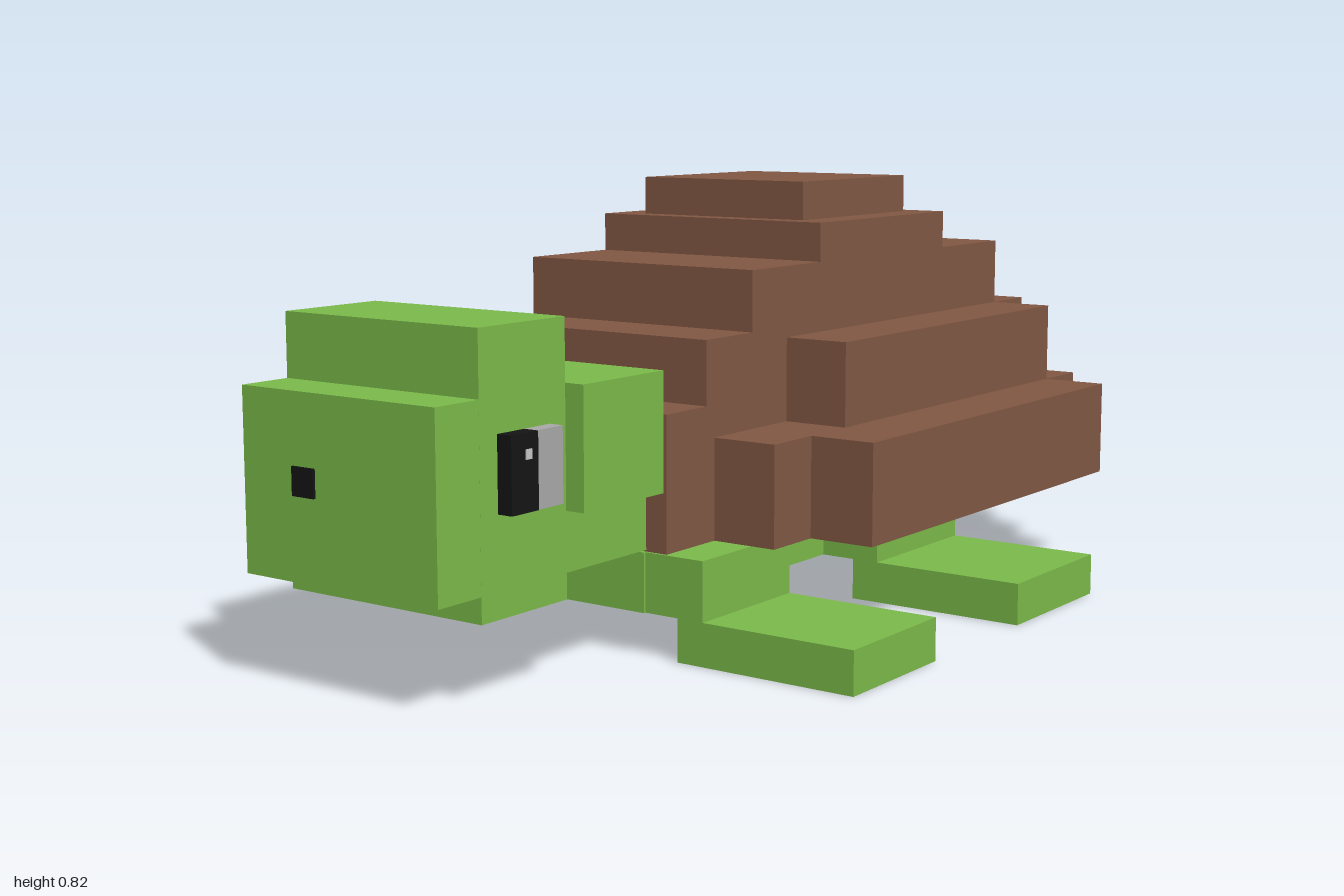
import * as THREE from 'three';

const material = (color) => new THREE.MeshStandardMaterial({ color, flatShading: true });
const CZ = -0.006; // the whole body sits slightly off centre in z

export function createModel() {
  const model = new THREE.Group();
  model.name = 'turtle';
  const green = material(0x7cbb4b);
  const brown = material(0x835944);
  const black = material(0x151515);
  const grey = material(0xaaaaaa);
  const white = material(0xffffff);

  const group = (name) => {
    const g = new THREE.Group();
    g.name = name;
    model.add(g);
    return g;
  };

  // Box given by its limits along each axis
  const box = (parent, name, mat, [x0, x1], [y0, y1], [z0, z1]) => {
    const mesh = new THREE.Mesh(new THREE.BoxGeometry(x1 - x0, y1 - y0, z1 - z0), mat);
    mesh.position.set((x0 + x1) / 2, (y0 + y1) / 2, (z0 + z1) / 2 + CZ);
    mesh.name = name;
    parent.add(mesh);
  };
  const mid = (w) => [-w, w];
  const side = (s, a, b) => (s > 0 ? [a, b] : [-b, -a]);

  // Shell: stepped tiers as [name, x range, y range, half width]
  const shell = group('shell');
  const tiers = [
    ['shellRimWide', [-0.19, 0.75], [0.19, 0.38], 0.525],
    ['shellRimMiddle', [-0.31, 0.88], [0.19, 0.38], 0.394],
    ['shellRimLong', [-0.455, 1.0], [0.19, 0.38], 0.263],
    ['shellFrontStep', [-0.455, -0.19], [0.37, 0.44], 0.263],
    ['shellFrontUpperStep', [-0.335, -0.19], [0.43, 0.56], 0.263],
    ['shellSecondTier', [-0.075, 0.75], [0.37, 0.54], 0.394],
    ['shellSecondTierBack', [-0.19, 0.88], [0.37, 0.54], 0.263],
    ['shellThirdTier', [-0.19, 0.75], [0.53, 0.675], 0.263],
    ['shellFourthTier', [0.04, 0.515], [0.665, 0.75], 0.263],
    ['shellCap', [0.085, 0.47], [0.74, 0.825], 0.193],
  ];
  for (const [name, x, y, w] of tiers) box(shell, name, brown, x, y, mid(w));

  // Sloped front of the second tier, on one side only
  const slope = new THREE.Shape([
    new THREE.Vector2(-0.19, 0.38),
    new THREE.Vector2(-0.075, 0.38),
    new THREE.Vector2(-0.075, 0.54),
  ]);
  const wedge = new THREE.Mesh(
    new THREE.ExtrudeGeometry(slope, { depth: 0.131, bevelEnabled: false }), brown);
  wedge.position.z = -0.394 + CZ;
  wedge.name = 'shellSlope';
  shell.add(wedge);

  // Belly and the four legs with flat feet
  box(model, 'belly', green, [-0.465, 0.485], [0.08, 0.19], mid(0.22));
  for (const s of [1, -1]) {
    for (const [name, x] of [['frontLeg', [-0.46, -0.185]], ['backLeg', [0.127, 0.442]]]) {
      const leg = group(name);
      box(leg, name + 'Joint', green, x, [0.08, 0.19], side(s, 0.21, 0.345));
      box(leg, name + 'Foot', green, x, [0, 0.08], side(s, 0.29, 0.655));
    }
  }

  // Head and neck
  const head = group('head');
  box(head, 'headCore', green, [-0.995, -0.45], [0.193, 0.515], mid(0.218));
  box(head, 'headBand', green, [-0.893, -0.677], [0.147, 0.63], mid(0.2181));
  box(head, 'neck', green, [-0.677, -0.455], [0.3, 0.518], mid(0.257));
  box(head, 'nostril', black, [-1.0, -0.98], [0.34, 0.39], [-0.1, -0.05]);

  // Eyes: dark front half with a glint, pale back half
  for (const s of [1, -1]) {
    box(head, 'pupil', black, [-0.85, -0.783], [0.322, 0.454], side(s, 0.2, 0.248));
    box(head, 'eyeWhite', grey, [-0.783, -0.718], [0.322, 0.454], side(s, 0.2, 0.246));
    box(head, 'eyeGlint', white, [-0.815, -0.8], [0.41, 0.427], side(s, 0.24, 0.25));
  }
  return model;
}
